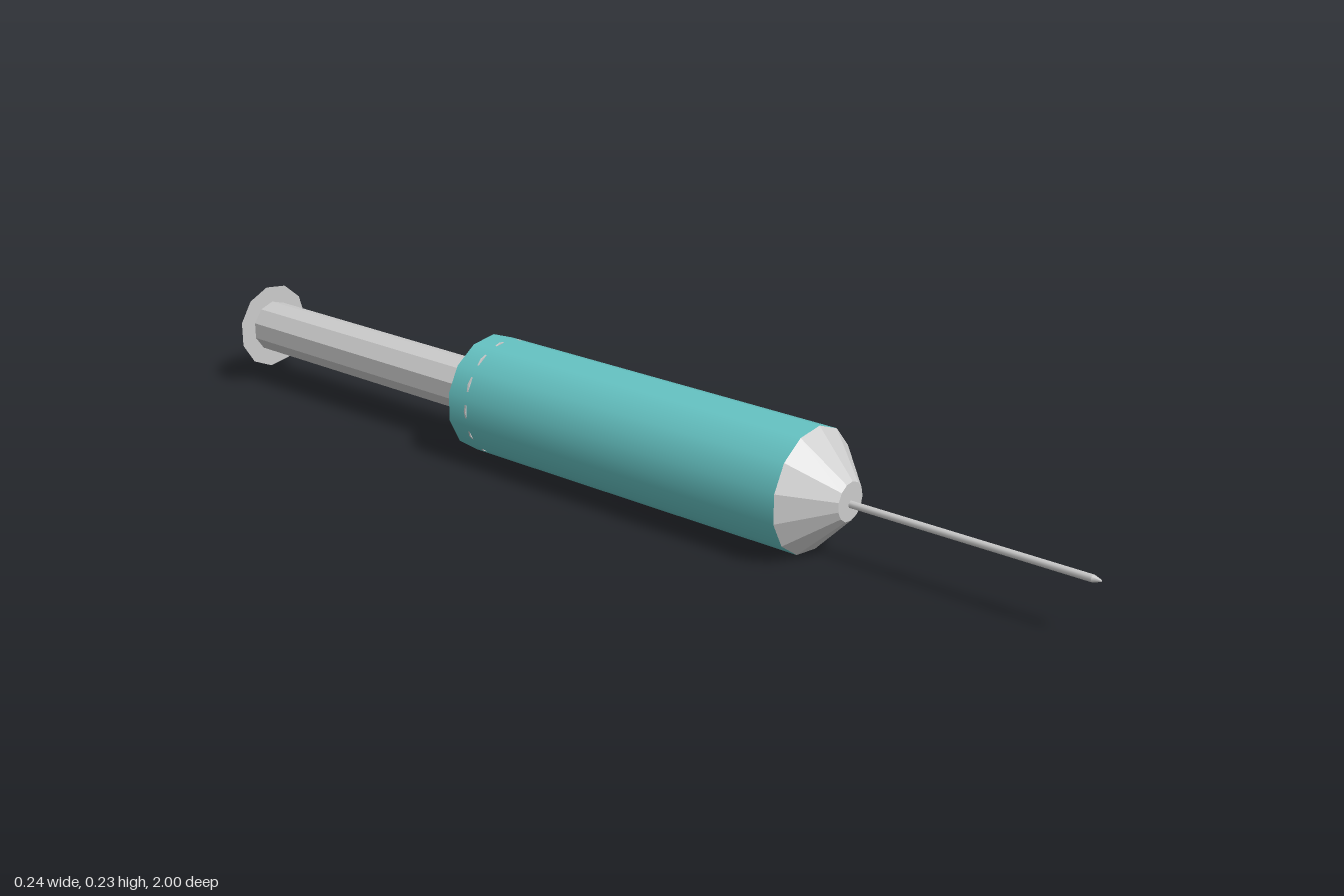
import * as THREE from 'three';

export function createModel() {
  const group = new THREE.Group();
  const grey = new THREE.MeshStandardMaterial({ color: 0xcccccc });
  const flatGrey = new THREE.MeshStandardMaterial({ color: 0xcccccc, flatShading: true });
  const teal = new THREE.MeshStandardMaterial({ color: 0x66c4c4 });

  // Cylinder or cone running along z from zBack to zFront
  function rod(name, rBack, rFront, zBack, zFront, sides, x, y, material, start = Math.PI / 2) {
    const geo = new THREE.CylinderGeometry(rFront, rBack, zFront - zBack, sides, 1, false, start);
    geo.rotateX(Math.PI / 2);
    const mesh = new THREE.Mesh(geo, material);
    mesh.name = name;
    mesh.position.set(x, y, (zBack + zFront) / 2);
    group.add(mesh);
  }

  // Barrel: smooth coloured side, grey end caps
  rod('barrel', 0.118, 0.118, -0.345, 0.44, 13, -0.002, 0.118, [teal, grey, grey]);
  // Faceted nose
  rod('nose', 0.118, 0.037, 0.44, 0.52, 13, -0.002, 0.118, flatGrey);
  // Needle and its tapered point
  rod('needle', 0.007, 0.007, 0.515, 0.985, 8, -0.001, 0.113, grey);
  rod('needlePoint', 0.007, 0.002, 0.985, 1, 8, -0.001, 0.113, grey);
  // Plunger rod
  rod('plungerRod', 0.054, 0.054, -0.998, -0.3, 10, -0.005, 0.121, flatGrey, 0);
  // Piston inside the barrel's rear end
  rod('piston', 0.116, 0.116, -0.302, -0.298, 13, -0.004, 0.119, grey, Math.PI / 2 + Math.PI / 13);

  // Thin thumb plate at the end of the plunger
  const plate = new THREE.Mesh(
    new THREE.CircleGeometry(0.09, 11),
    new THREE.MeshStandardMaterial({ color: 0xcccccc, side: THREE.DoubleSide })
  );
  plate.name = 'thumbPlate';
  plate.position.set(-0.004, 0.12, -1);
  group.add(plate);

  return group;
}
